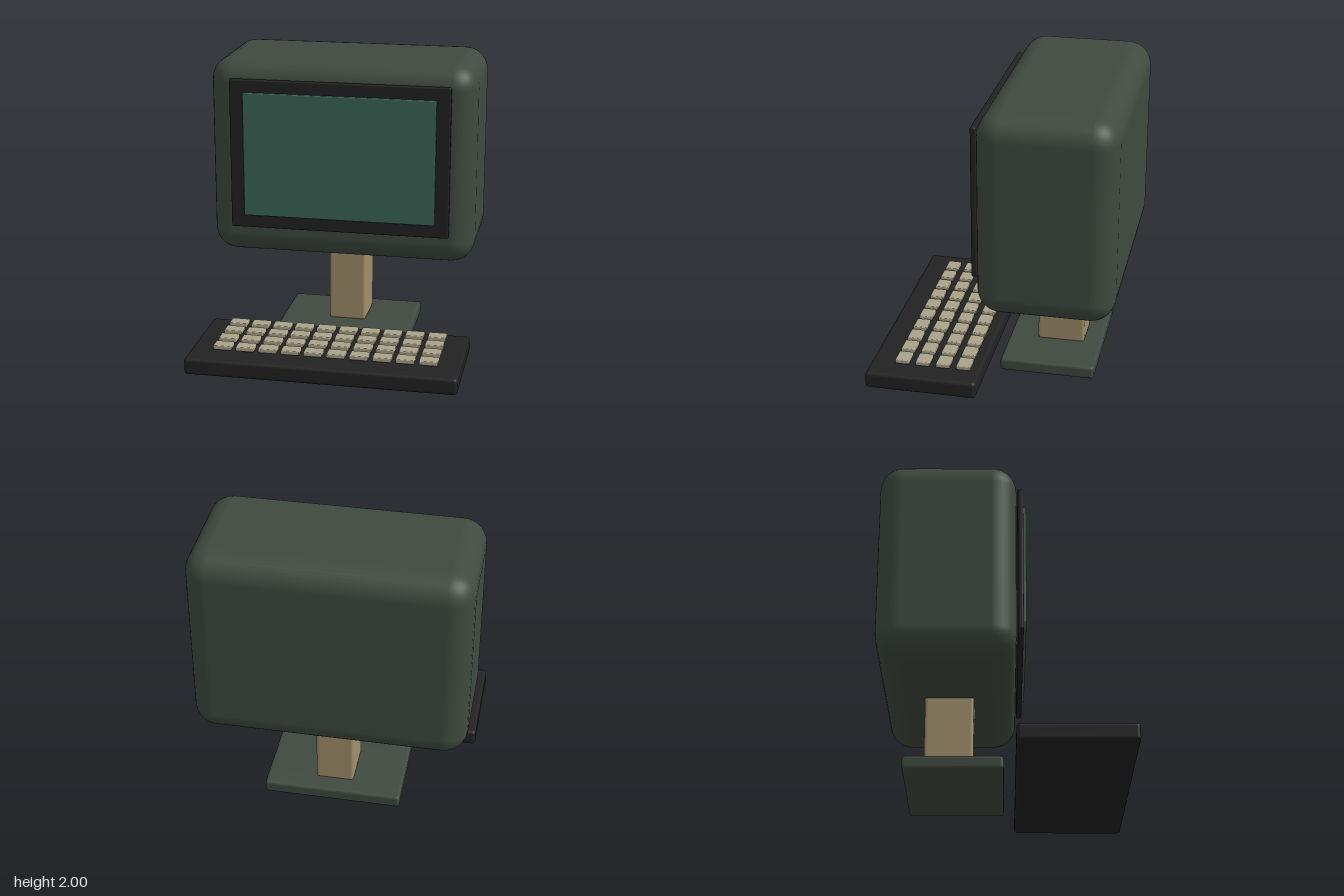
import * as THREE from 'three';
import { RoundedBoxGeometry } from 'three/addons/geometries/RoundedBoxGeometry.js';

function mat(name, color) {
  const m = new THREE.MeshStandardMaterial({ color });
  m.name = name;
  return m;
}

export function createModel() {
  const model = new THREE.Group();
  model.name = 'desktopTerminal';

  const casing = mat('darkGreenCasing', 0x404a40);
  const black = mat('blackPlastic', 0x222222);
  const glass = mat('greenGlass', 0x3c6759);
  const tan = mat('tanPost', 0xa18f6a);
  const cream = mat('creamKeys', 0xaba38a);

  // Rounded block given by its extents on each axis
  function block(name, material, [x0, x1], [y0, y1], [z0, z1], radius, segments = 2, parent = model) {
    const geometry = new RoundedBoxGeometry(x1 - x0, y1 - y0, z1 - z0, segments, radius);
    const mesh = new THREE.Mesh(geometry, material);
    mesh.name = name;
    mesh.position.set((x0 + x1) / 2, (y0 + y1) / 2, (z0 + z1) / 2);
    parent.add(mesh);
    return mesh;
  }

  // Monitor
  block('monitorCasing', casing, [-0.91, 0.91], [0.63, 2], [-0.823, 0.077], 0.16, 4);
  block('bezel', black, [-0.75, 0.75], [0.842, 1.877], [0.085, 0.122], 0.012);
  block('screen', glass, [-0.655, 0.655], [0.933, 1.79], [0.105, 0.141], 0.008);

  // Stand
  block('standPost', tan, [-0.13, 0.13], [0.085, 0.66], [-0.53, -0.205], 0.02, 3);
  block('standBase', casing, [-0.47, 0.47], [0, 0.09], [-0.65, -0.005], 0.022, 3);

  // Keyboard
  const keyboard = new THREE.Group();
  keyboard.name = 'keyboard';
  model.add(keyboard);
  block('keyboardCase', black, [-0.91, 0.91], [0.02, 0.136], [0.07, 0.823], 0.025, 3, keyboard);

  // Four rows of ten keys
  const keyGeometry = new RoundedBoxGeometry(0.125, 0.03, 0.096, 2, 0.007);
  for (let row = 0; row < 4; row++) {
    for (let col = 0; col < 10; col++) {
      const key = new THREE.Mesh(keyGeometry, cream);
      key.name = 'key';
      key.position.set(-0.692 + col * 0.1545, 0.157, 0.185 + row * 0.14);
      keyboard.add(key);
    }
  }

  return model;
}
